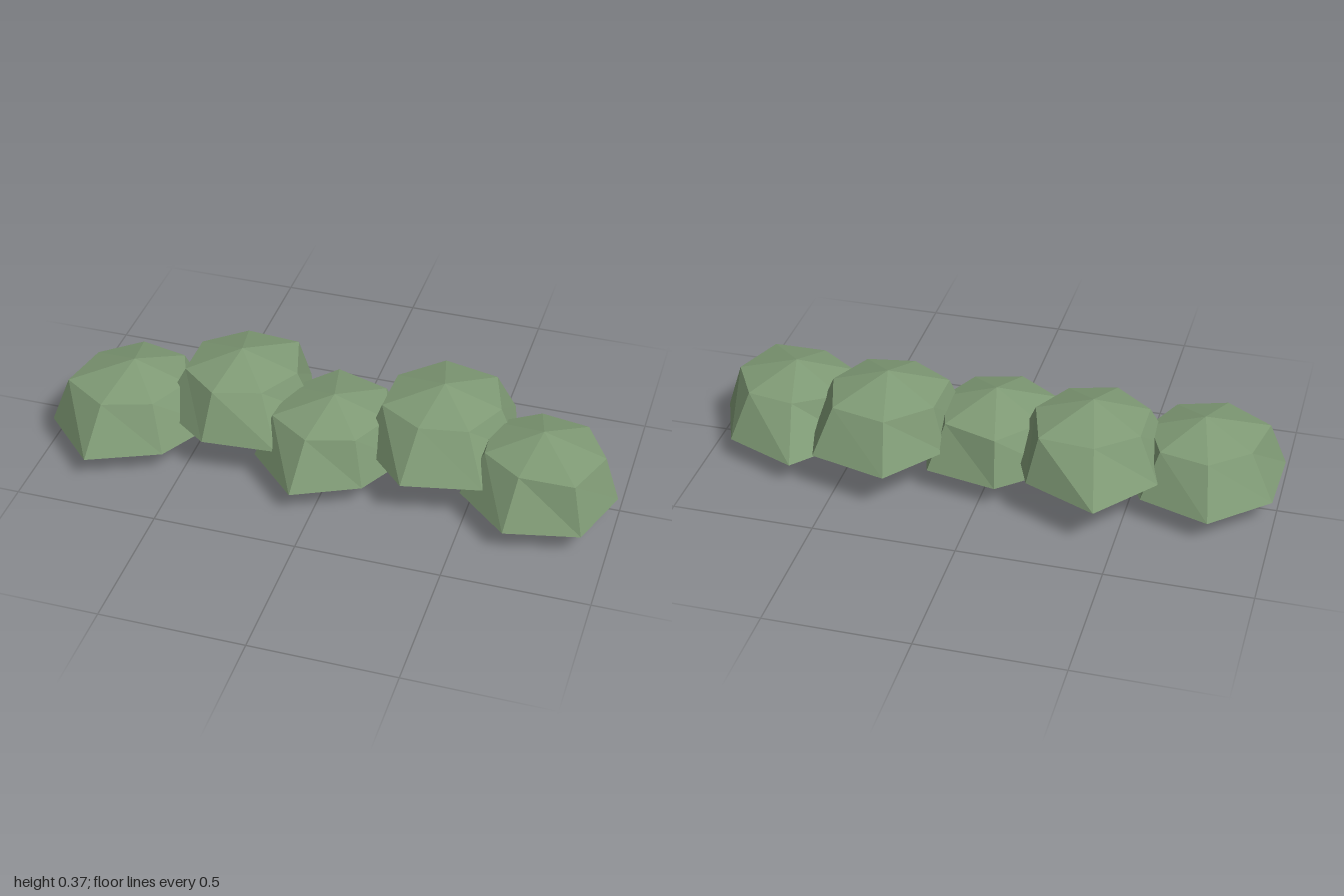
import * as THREE from 'three';

const SIDES = 7;

// One faceted bush: bottom tip, wide lower ring, narrower upper ring, top tip.
// lower / upper hold the ring radii, starting at +x and turning towards +z.
function bushGeometry(lower, upper) {
  const ring = (radii, y) => radii.map((r, i) => {
    const a = (i / SIDES) * Math.PI * 2;
    return [r * Math.cos(a), y, r * Math.sin(a)];
  });
  const low = ring(lower, 0.085);
  const high = ring(upper, 0.245);
  const bottom = [0, 0, 0];
  const top = [0, 0.31, 0];
  const positions = [];
  const tri = (...corners) => corners.forEach((c) => positions.push(...c));
  for (let i = 0; i < SIDES; i++) {
    const j = (i + 1) % SIDES;
    tri(bottom, low[i], low[j]);
    tri(low[i], high[i], high[j]);
    tri(low[i], high[j], low[j]);
    tri(top, high[j], high[i]);
  }
  const geometry = new THREE.BufferGeometry();
  geometry.setAttribute('position', new THREE.Float32BufferAttribute(positions, 3));
  geometry.computeVertexNormals();
  return geometry;
}

export function createModel() {
  const group = new THREE.Group();
  group.name = 'bushRow';
  const leaf = new THREE.MeshStandardMaterial({ color: 0x7f9a75, flatShading: true });
  leaf.name = 'leafGreen';

  // A zigzag row: the second and fourth bushes sit further back and higher
  const bushes = [
    { name: 'farRightBush', at: [-0.73, 0, 0.045],
      lower: [0.29, 0.276, 0.332, 0.3, 0.288, 0.308, 0.28],
      upper: [0.19, 0.195, 0.213, 0.235, 0.195, 0.2, 0.2] },
    { name: 'rightBackBush', at: [-0.36, 0.062, -0.04],
      lower: [0.27, 0.32, 0.277, 0.29, 0.28, 0.348, 0.287],
      upper: [0.2, 0.19, 0.2, 0.2, 0.2, 0.205, 0.235] },
    { name: 'middleBush', at: [0, 0, 0.045],
      lower: [0.26, 0.25, 0.31, 0.28, 0.28, 0.292, 0.3],
      upper: [0.19, 0.19, 0.2, 0.215, 0.2, 0.24, 0.22] },
    { name: 'leftBackBush', at: [0.365, 0.062, -0.04],
      lower: [0.27, 0.32, 0.314, 0.28, 0.26, 0.33, 0.32],
      upper: [0.2, 0.2, 0.19, 0.215, 0.21, 0.23, 0.23] },
    { name: 'farLeftBush', at: [0.73, 0, 0.045],
      lower: [0.267, 0.299, 0.297, 0.28, 0.28, 0.336, 0.286],
      upper: [0.215, 0.235, 0.19, 0.2, 0.21, 0.19, 0.2] },
  ];
  for (const { name, at, lower, upper } of bushes) {
    const bush = new THREE.Mesh(bushGeometry(lower, upper), leaf);
    bush.name = name;
    bush.position.set(...at);
    group.add(bush);
  }
  return group;
}
